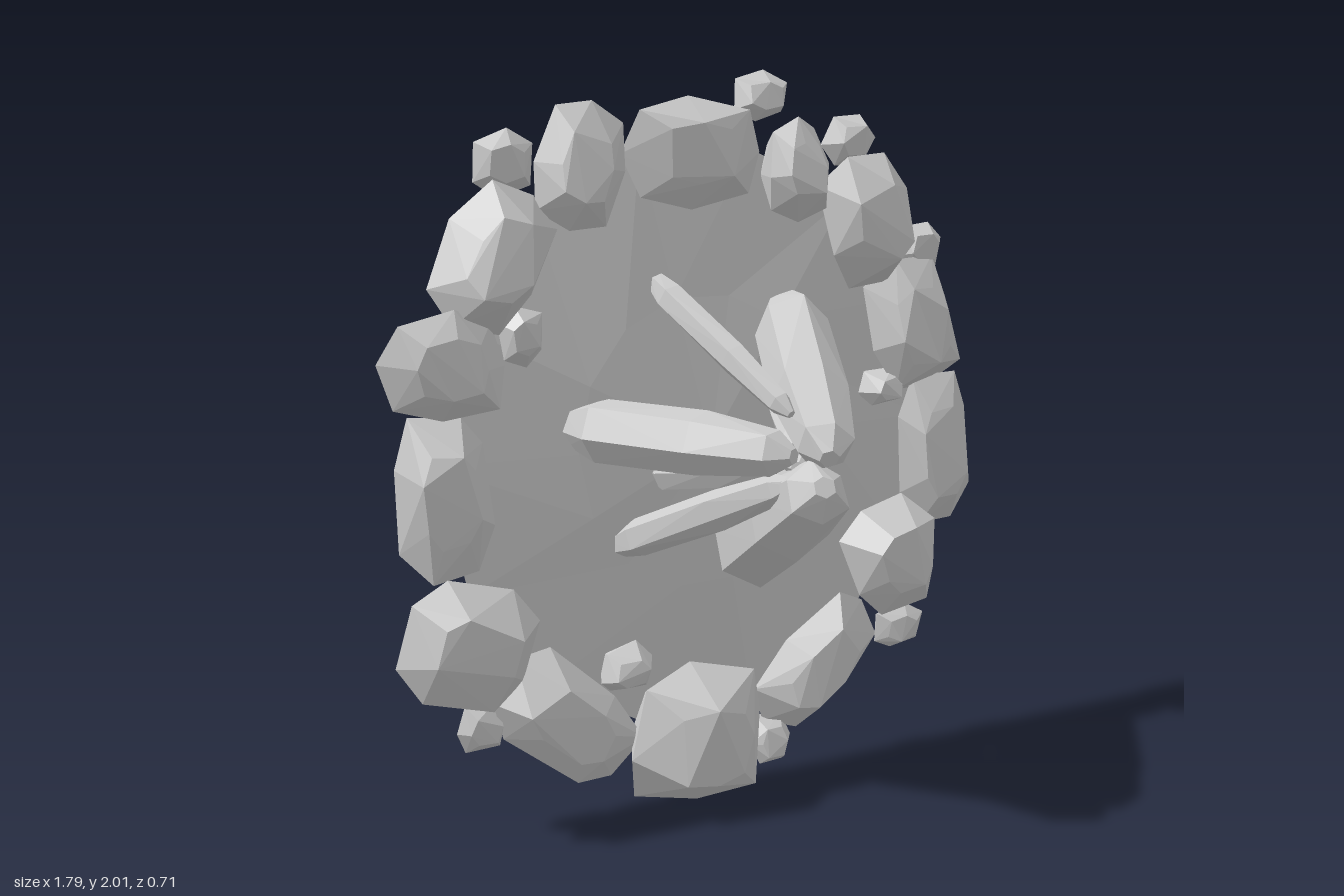
import * as THREE from 'three';
import { ConvexGeometry } from 'three/addons/geometries/ConvexGeometry.js';

const material = new THREE.MeshStandardMaterial({ color: 0xcccccc, flatShading: true });
const groundMaterial = new THREE.MeshStandardMaterial({ color: 0xcccccc, flatShading: true, side: THREE.DoubleSide });

// Small seeded generator for the irregular facets
let seed = 7;
const rand = () => (seed = (seed * 16807) % 2147483647) / 2147483647;
const jitter = (amount) => 1 + (rand() - 0.5) * amount;

function addMesh(parent, name, geometry, mat = material) {
  const mesh = new THREE.Mesh(geometry, mat);
  mesh.name = name;
  parent.add(mesh);
  return mesh;
}

// Faceted stone: convex hull of three rounded-square rings from back to front
function stoneGeometry(halfW, halfH, back, front, sides) {
  const points = [];
  const rings = [[0.06, 0.64, 0.12], [0.45, 1, 0.4], [0.88, 0.56, 0.24]];
  const turn = rand();
  const soften = (v) => Math.sign(v) * Math.abs(v) ** 0.72;
  for (const [t, scale, wobble] of rings) {
    for (let i = 0; i < sides; i++) {
      const a = ((i + turn) / sides) * Math.PI * 2;
      const s = scale * jitter(0.12);
      const z = back + (front - back) * (t + (rand() - 0.5) * wobble);
      points.push(new THREE.Vector3(soften(Math.cos(a)) * halfW * s, soften(Math.sin(a)) * halfH * s, z));
    }
  }
  return new ConvexGeometry(points);
}

// Rough-hewn log: hull of six-sided rings along its axis, with chipped ends
function logGeometry(length, radius) {
  const points = [];
  const profile = [[0, 0.6], [0.14, 1], [0.6, 0.96], [0.92, 0.72], [1, 0.25]];
  const turn = rand() * 2;
  for (const [t, scale] of profile) {
    for (let i = 0; i < 6; i++) {
      const a = (i / 6) * Math.PI * 2 + turn;
      const r = radius * scale * jitter(0.16);
      points.push(new THREE.Vector3(Math.cos(a) * r, t * length, Math.sin(a) * r));
    }
  }
  return new ConvexGeometry(points);
}

// Uneven ground disc, a low mound rising towards the logs
function groundGeometry() {
  const geometry = new THREE.RingGeometry(0, 1, 14, 2);
  const p = geometry.attributes.position;
  for (let i = 0; i < p.count; i++) {
    const x = p.getX(i), y = p.getY(i), r = Math.hypot(x, y);
    const wave = Math.sin(x * 7 + y * 3) * Math.cos(y * 8 - x * 2);
    const edge = 1 + 0.03 * wave * r;
    p.setXYZ(i, x * 0.74 * edge, 1.02 + y * 0.81 * edge, -0.237 - 0.078 * r + 0.018 * wave * (1 - 0.6 * r));
  }
  return geometry;
}

export function createModel() {
  const model = new THREE.Group();
  model.name = 'campfire';

  addMesh(model, 'ground', groundGeometry(), groundMaterial);

  // Ring stones: x, y, half width, half height, tilt in degrees, back z, front z
  const ringStones = [
    [-0.035, 1.79, 0.205, 0.14, 0, -0.33, -0.19],
    [-0.355, 1.76, 0.115, 0.165, -15, -0.32, -0.18],
    [-0.59, 1.54, 0.135, 0.19, -30, -0.32, -0.14],
    [-0.73, 1.285, 0.16, 0.135, 0, -0.32, -0.14],
    [-0.74, 0.95, 0.13, 0.22, 0, -0.33, -0.17],
    [-0.705, 0.57, 0.185, 0.165, -15, -0.32, -0.12],
    [-0.44, 0.31, 0.24, 0.135, -42, -0.32, -0.16],
    [-0.065, 0.205, 0.215, 0.205, -5, -0.34, -0.04],
    [0.35, 0.33, 0.24, 0.135, 40, -0.32, -0.17],
    [0.6, 0.625, 0.15, 0.17, 25, -0.32, -0.14],
    [0.755, 0.92, 0.13, 0.24, 4, -0.32, -0.19],
    [0.67, 1.3, 0.14, 0.2, 15, -0.35, -0.18],
    [0.49, 1.6, 0.145, 0.19, 15, -0.32, -0.13],
    [0.26, 1.74, 0.095, 0.135, 0, -0.32, -0.14],
  ];
  // Pebbles wedged between them: x, y, half width, half height, back z, front z
  const pebbles = [
    [-0.55, 1.77, 0.085, 0.085, -0.32, -0.23],
    [0.17, 1.935, 0.085, 0.065, -0.32, -0.22],
    [0.45, 1.815, 0.08, 0.075, -0.32, -0.22],
    [0.7, 1.515, 0.08, 0.075, -0.32, -0.24],
    [0.58, 1.12, 0.075, 0.055, -0.33, -0.22],
    [0.64, 0.39, 0.085, 0.07, -0.32, -0.22],
    [0.2, 0.12, 0.07, 0.08, -0.31, -0.22],
    [-0.66, 0.32, 0.075, 0.075, -0.32, -0.23],
    [-0.52, 1.34, 0.065, 0.08, -0.32, -0.22],
    [-0.25, 0.41, 0.085, 0.07, -0.33, -0.2],
  ];
  const stoneRing = new THREE.Group();
  stoneRing.name = 'stoneRing';
  model.add(stoneRing);
  for (const [x, y, w, h, tilt, back, front] of ringStones) {
    const stone = addMesh(stoneRing, 'ringStone', stoneGeometry(w, h, back, front, 8));
    stone.position.set(x, y, 0);
    stone.rotation.z = THREE.MathUtils.degToRad(tilt);
  }
  for (const [x, y, w, h, back, front] of pebbles) {
    addMesh(stoneRing, 'pebble', stoneGeometry(w, h, back, front, 6)).position.set(x, y, 0);
  }

  // Leaning logs: foot x, y, z; tip x, y, z; radius
  const logs = [
    [0.14, 0.67, -0.31, 0, 1.02, 0.35, 0.115],
    [0.27, 1.36, -0.31, 0.03, 1.08, 0.32, 0.1],
    [-0.37, 1.09, -0.31, -0.05, 1.09, 0.29, 0.085],
    [0.41, 1.02, -0.3, 0.03, 1.03, 0.17, 0.065],
    [-0.25, 0.75, -0.31, -0.02, 1.01, 0.24, 0.053],
    [-0.13, 1.46, -0.31, 0, 1.17, 0.19, 0.044],
    [0.25, 0.89, -0.31, 0.04, 1.01, 0.2, 0.063],
    [0.26, 1.16, -0.31, 0.05, 1.08, 0.14, 0.06],
    [-0.14, 0.94, -0.32, -0.02, 1.03, 0.15, 0.05],
  ];
  const logPile = new THREE.Group();
  logPile.name = 'logPile';
  model.add(logPile);
  const up = new THREE.Vector3(0, 1, 0);
  for (const [fx, fy, fz, tx, ty, tz, radius] of logs) {
    const foot = new THREE.Vector3(fx, fy, fz);
    const axis = new THREE.Vector3(tx, ty, tz).sub(foot);
    const log = addMesh(logPile, 'log', logGeometry(axis.length(), radius));
    log.position.copy(foot);
    log.quaternion.setFromUnitVectors(up, axis.normalize());
  }
  return model;
}
